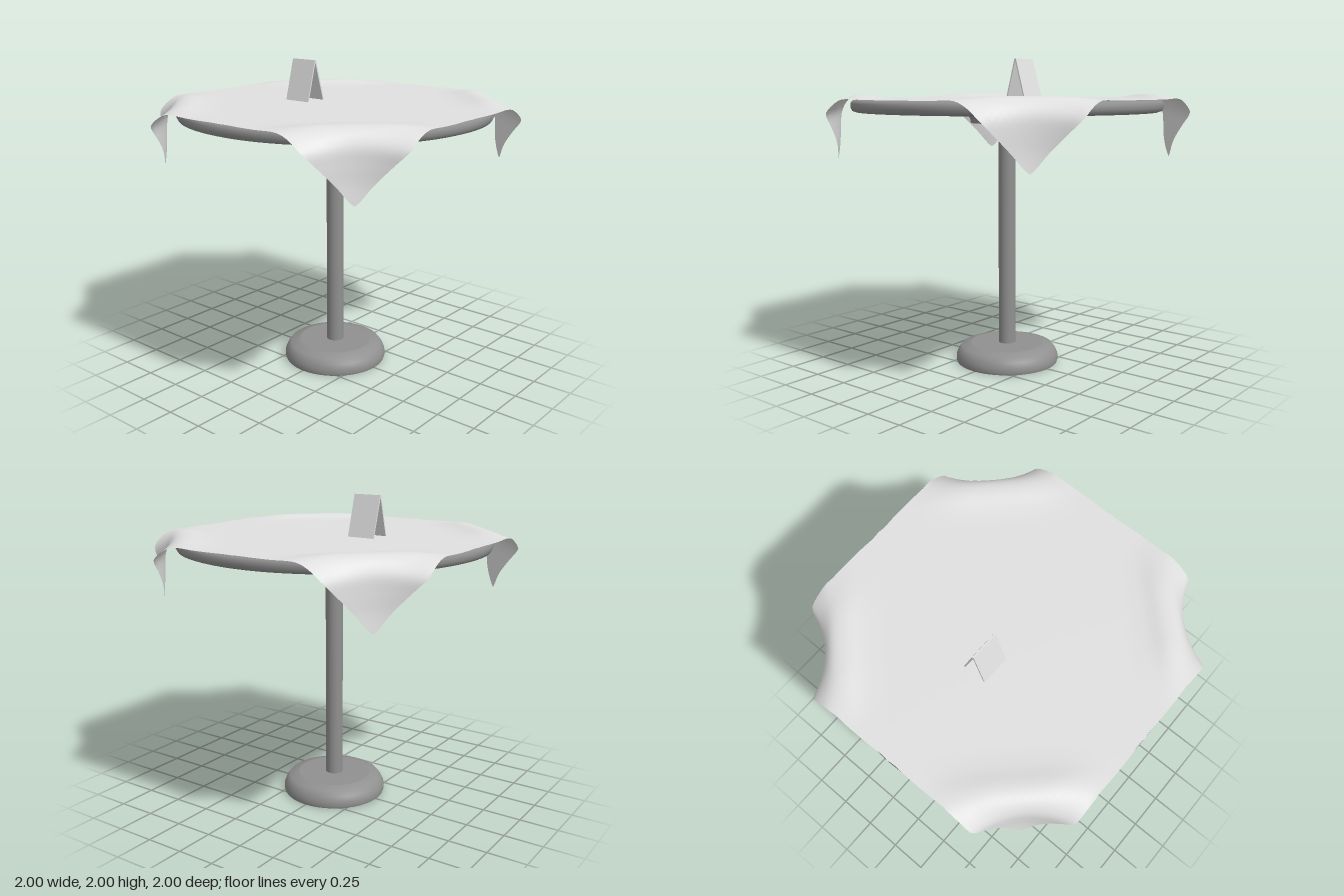
import * as THREE from 'three';

export function createModel() {
  const group = new THREE.Group();
  const linen = new THREE.MeshStandardMaterial({ color: 0xe0e0e0, side: THREE.DoubleSide });
  linen.name = 'white linen';
  const metal = new THREE.MeshStandardMaterial({ color: 0x909090 });
  metal.name = 'grey metal';

  const add = (name, geometry, material) => {
    const mesh = new THREE.Mesh(geometry, material);
    mesh.name = name;
    group.add(mesh);
    return mesh;
  };
  // Turned part; a third value of 1 doubles the point so that its edge stays sharp
  const turned = (name, profile, segments = 64) => {
    const points = profile.flatMap(([r, y, sharp]) =>
      Array.from({ length: sharp ? 2 : 1 }, () => new THREE.Vector2(r, y)));
    return add(name, new THREE.LatheGeometry(points, segments), metal);
  };

  // Pedestal and table top
  turned('base', [[0, 0], [0.335, 0, 1], [0.34, 0.015], [0.338, 0.045], [0.325, 0.075],
    [0.302, 0.105], [0.24, 0.122, 1], [0, 0.124]]);
  turned('pole', [[0.056, 0.11], [0.056, 1.6]], 32);
  turned('topMount', [[0, 1.587], [0.235, 1.587, 1], [0.24, 1.615, 1], [0.248, 1.63, 1],
    [0.25, 1.655], [0.25, 1.67]]);
  turned('tableTop', [[0, 1.66], [0.96, 1.66, 1], [0.985, 1.668], [0.996, 1.69],
    [0.996, 1.715], [0.985, 1.732], [0.96, 1.737, 1], [0, 1.737]], 96);

  // Square cloth whose corners fold over the rim: profile of (reach, drop) along the diagonal
  const fold = new THREE.SplineCurve([
    [0.714, 0], [0.814, 0.008], [0.914, 0.027], [1.0, 0.008],
    [1.05, -0.07], [1.062, -0.17], [1.068, -0.275], [1.082, -0.382],
  ].map(([x, y]) => new THREE.Vector2(x, y)));
  const cloth = new THREE.PlaneGeometry(2, 2, 64, 64).rotateX(-Math.PI / 2);
  const pos = cloth.attributes.position;
  for (let i = 0; i < pos.count; i++) {
    const u = pos.getX(i), v = pos.getZ(i);
    const d = (Math.abs(u) + Math.abs(v)) / Math.SQRT2;
    const s = (Math.abs(u) - Math.abs(v)) / Math.SQRT2;
    let x = u, y = 0, z = v;
    if (d > 0.714) {
      const p = fold.getPoint(Math.min(1, (d - 0.714) / 0.7));
      const flare = s * s * THREE.MathUtils.smoothstep(d, 0.98, 1.174);
      const reach = p.x + flare;
      x = Math.sign(u) * (reach + s) / Math.SQRT2;
      z = Math.sign(v) * (reach - s) / Math.SQRT2;
      // Slight swell of the cloth before it folds
      y = p.y > 0 ? p.y * (1 - THREE.MathUtils.smoothstep(Math.abs(s), 0.15, 0.55)) : p.y;
    }
    // Keep the straight sides in line with the square's edge
    pos.setXYZ(i, THREE.MathUtils.clamp(x, -1, 1), 1.742 + y, THREE.MathUtils.clamp(z, -1, 1));
  }
  cloth.computeVertexNormals();
  add('tablecloth', cloth, linen);

  // Folded table card
  const tent = new THREE.Shape([
    [-0.042, 1.742], [-0.033, 1.742], [0.038, 1.985], [0.104, 1.742],
    [0.113, 1.742], [0.044, 2], [0.032, 2],
  ].map(([x, y]) => new THREE.Vector2(x, y)));
  const card = new THREE.ExtrudeGeometry(tent, { depth: 0.185, bevelEnabled: false });
  card.rotateY(-Math.PI / 2).translate(-0.131, 0, 0);
  add('tableCard', card, linen);

  return group;
}
